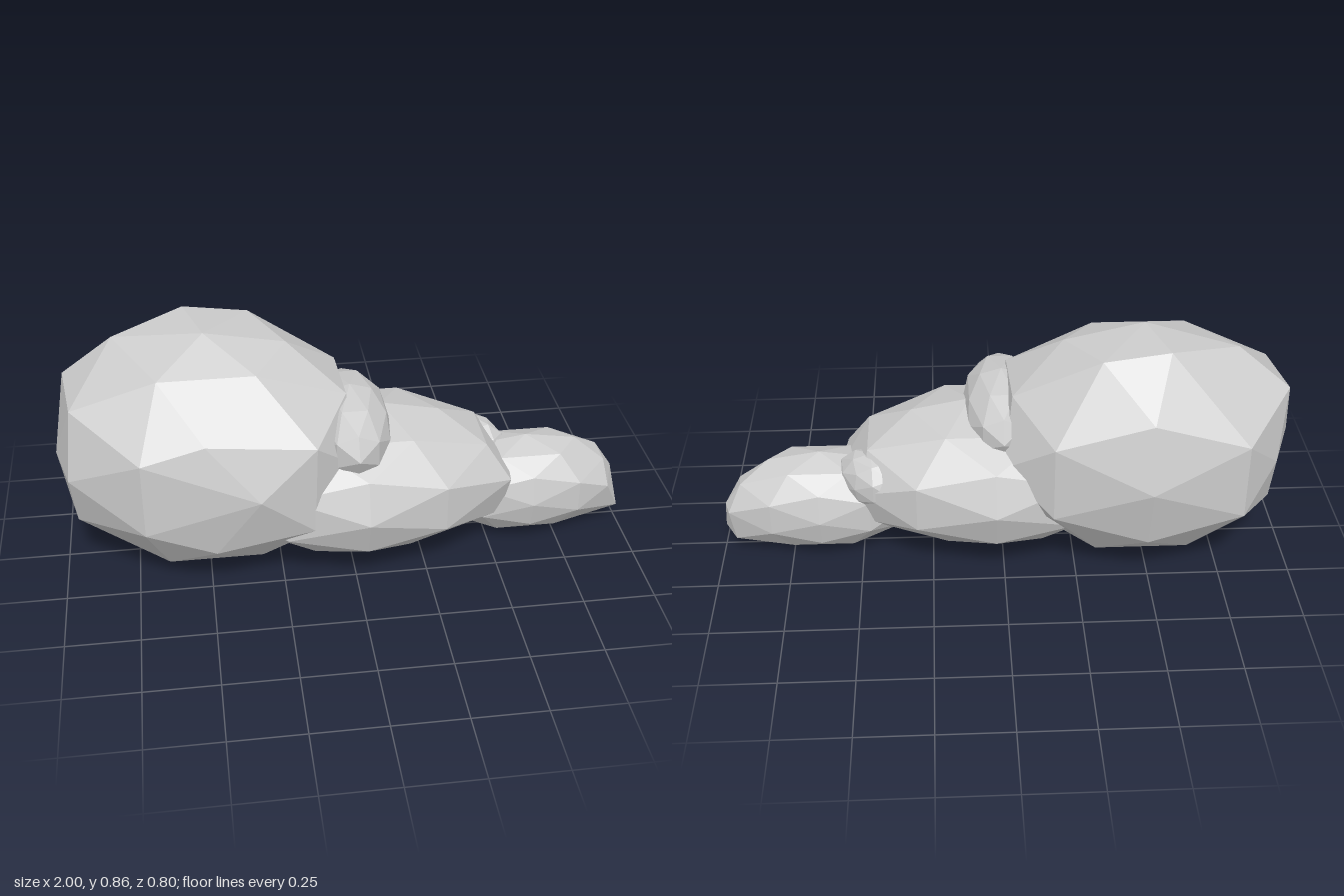
import * as THREE from 'three';

// One faceted boulder: an 80-sided ball stretched to its radii.
// nudges: [unit direction of a corner, offset in model units]
function boulder(name, centre, radii, nudges = [], turn = [0, 0, 0]) {
  const geometry = new THREE.IcosahedronGeometry(1, 1);
  const position = geometry.attributes.position;
  const scale = new THREE.Vector3(...radii);
  const v = new THREE.Vector3();
  for (let i = 0; i < position.count; i++) {
    v.fromBufferAttribute(position, i);
    const offset = new THREE.Vector3();
    for (const [corner, move] of nudges) {
      if (v.distanceTo(new THREE.Vector3(...corner)) < 0.05) offset.add(new THREE.Vector3(...move));
    }
    v.multiply(scale).add(offset);
    position.setXYZ(i, v.x, v.y, v.z);
  }
  geometry.computeVertexNormals();
  const mesh = new THREE.Mesh(
    geometry,
    new THREE.MeshStandardMaterial({ color: 0xcccccc, flatShading: true })
  );
  mesh.name = name;
  mesh.position.set(...centre);
  mesh.rotation.set(...turn);
  return mesh;
}

export function createModel() {
  const group = new THREE.Group();
  group.name = 'rockPile';

  group.add(
    // Large boulder, its crown leaning to the back
    boulder('largeBoulder', [-0.48, 0.44, 0], [0.52, 0.437, 0.4], [
      // crown
      [[0, 1, 0], [0, -0.01, 0.01]],
      [[-0.309, 0.809, -0.5], [0.1, 0.07, 0]],
      [[0.309, 0.809, -0.5], [0, 0.04, 0]],
      [[-0.309, 0.809, 0.5], [0, -0.01, -0.03]],
      [[0.309, 0.809, 0.5], [0, -0.01, -0.03]],
      [[-0.526, 0.851, 0], [-0.03, 0.01, -0.09]],
      // left end
      [[-0.809, 0.5, -0.309], [-0.06, 0.02, 0]],
      [[-0.809, 0.5, 0.309], [-0.03, 0.01, 0]],
      [[-0.809, -0.5, 0.309], [-0.04, 0.02, 0]],
      [[-0.809, -0.5, -0.309], [-0.03, 0.02, 0]],
      [[-0.851, 0, 0.526], [-0.03, 0, -0.02]],
      [[-0.5, 0.309, -0.809], [-0.06, 0, -0.01]],
      [[-0.5, -0.309, -0.809], [-0.06, 0, -0.01]],
      [[-0.5, 0.309, 0.809], [0.03, 0, 0.02]],
      [[-0.5, -0.309, 0.809], [0.03, 0, 0.02]],
      // right end and front
      [[0, 0, 1], [0.15, 0, 0]],
      [[0, 0.526, 0.851], [-0.02, -0.04, 0]],
      [[0.5, 0.309, 0.809], [0.08, 0.02, 0.02]],
      [[0.5, -0.309, 0.809], [0.07, -0.03, 0.02]],
      [[0.5, 0.309, -0.809], [0.06, 0, 0]],
      [[0.5, -0.309, -0.809], [0.06, 0, 0]],
      [[0.851, 0, 0.526], [0.05, 0, 0.01]],
      [[0.851, 0, -0.526], [0.04, 0, 0]],
      [[0.809, 0.5, 0.309], [0.04, 0.01, 0]],
      [[0.809, 0.5, -0.309], [0.03, 0.01, 0]],
    ]),
    // Middle boulder with a fuller lower end
    boulder('middleBoulder', [0.03, 0.305, 0.035], [0.54, 0.265, 0.355], [
      [[0, 1, 0], [0.08, 0, 0]],
      [[0.809, -0.5, 0.309], [0.06, -0.02, 0]],
      [[0.809, -0.5, -0.309], [0.05, -0.02, 0]],
      [[0.851, 0, 0.526], [0.06, 0.01, -0.03]],
      [[0.526, -0.851, 0], [0.03, -0.02, 0]],
      [[-0.526, -0.851, 0], [0, -0.03, 0]],
    ]),
    // Small boulder, its nose dropping to the ground
    boulder('smallBoulder', [0.64, 0.195, 0.01], [0.345, 0.187, 0.18], [
      [[1, 0, 0], [-0.005, 0.005, -0.04]],
      [[0.809, -0.5, 0.309], [0.08, -0.04, -0.03]],
      [[0.809, -0.5, -0.309], [0.03, -0.03, -0.02]],
      [[0.809, 0.5, 0.309], [0.01, -0.02, -0.03]],
      [[0.851, 0, -0.526], [0.03, 0, 0]],
      [[0.526, -0.851, 0], [-0.02, -0.025, 0]],
      [[-0.526, -0.851, 0], [0, -0.015, 0]],
    ]),
    // Stones wedged into the gaps
    boulder('upperStone', [0, 0.525, 0.065], [0.14, 0.145, 0.27]),
    boulder('lowerStone', [0.455, 0.32, -0.075], [0.14, 0.105, 0.09], [], [0, -0.7, 0])
  );
  return group;
}
